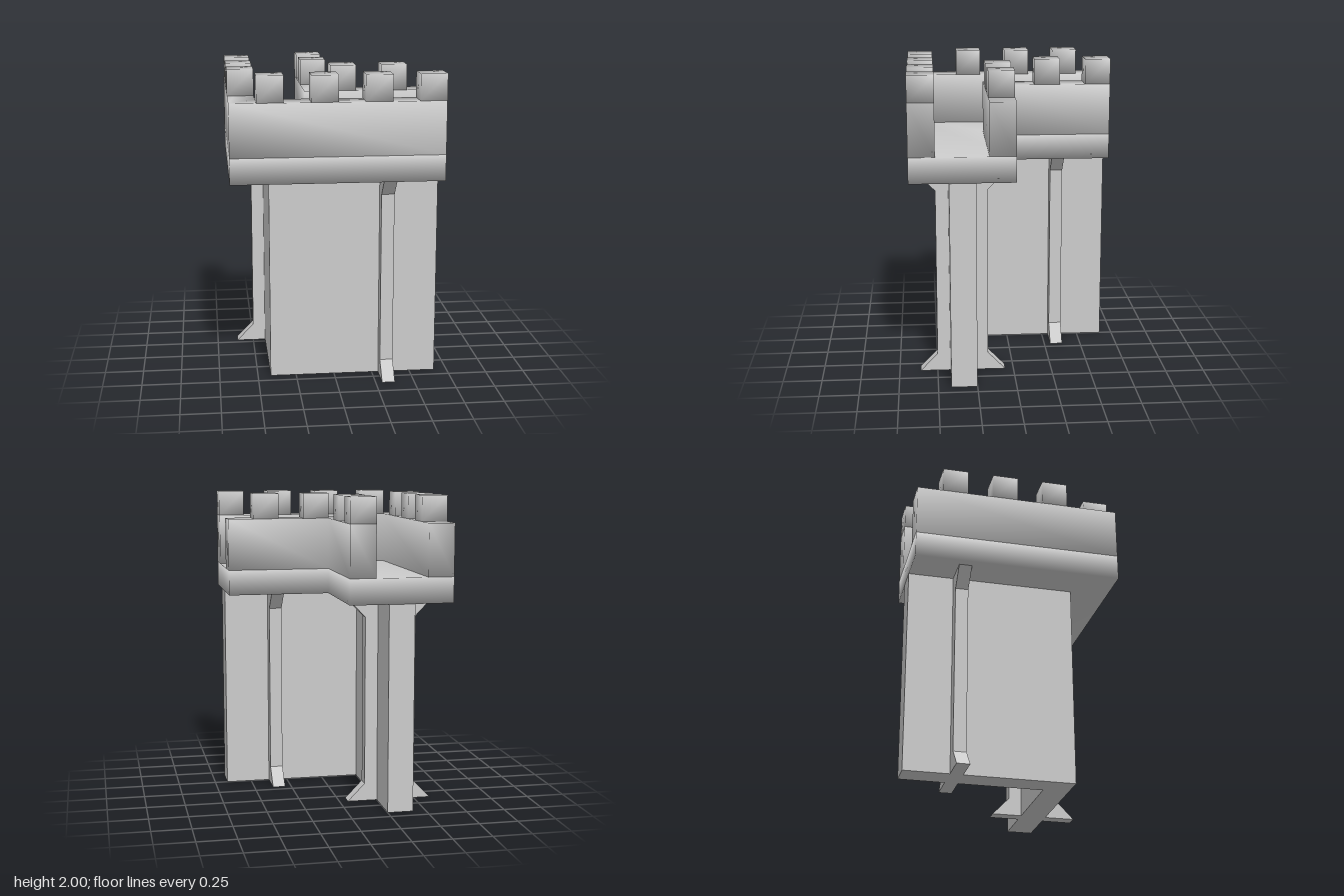
import * as THREE from 'three';
import { mergeVertices } from 'three/addons/utils/BufferGeometryUtils.js';

const U = 1 / 6; // grid unit: one merlon width
const BODY_TOP = 1.335, DECK = 1.5, WALL_TOP = 1.835, TOP = 2;
const material = new THREE.MeshStandardMaterial({ color: 0xcccccc });

// Shared vertices give the soft shading across corners
function soften(geometry) {
  geometry.deleteAttribute('normal');
  geometry.deleteAttribute('uv');
  const merged = mergeVertices(geometry, 1e-4);
  merged.computeVertexNormals();
  return merged;
}

// L-shaped plan: outer is the offset of the long faces, inner that of the short faces
function lSolid(outer, inner, y0, y1) {
  const e = 4 * U;
  const plan = [[-outer, outer], [e, outer], [e, -inner], [inner, -inner], [inner, -e], [-outer, -e]];
  const shape = new THREE.Shape(plan.map(([x, z]) => new THREE.Vector2(x, -z)));
  const geometry = new THREE.ExtrudeGeometry(shape, { depth: y1 - y0, bevelEnabled: false });
  return geometry.rotateX(-Math.PI / 2).translate(0, y0, 0);
}

export function createModel() {
  const group = new THREE.Group();
  const add = (name, geometry) => {
    const mesh = new THREE.Mesh(geometry, material);
    mesh.name = name;
    group.add(mesh);
    return mesh;
  };

  // Corner wall, the walkway on it, and the two parapets along the walkway
  add('cornerWall', lSolid(2.5 * U, -1.5 * U, 0, BODY_TOP));
  add('walkway', soften(lSolid(4 * U, 0, BODY_TOP, DECK)));
  add('outerParapet', soften(lSolid(4 * U, -3 * U, DECK, WALL_TOP)));
  add('innerParapet', soften(lSolid(U, 0, DECK, WALL_TOP)));

  // Merlons: grid centres [x, z] in units
  const merlons = [];
  for (const x of [-2.5, -0.5, 1.5, 3.5]) merlons.push([x, 3.5]);
  for (const z of [1.5, -0.5, -2.5]) merlons.push([-3.5, z]);
  for (const s of [0.5, 2.5]) merlons.push([s, 0.5]);
  for (const s of [1.5, 3.5]) merlons.push([-0.5, -s]);
  const merlon = soften(new THREE.BoxGeometry(U, TOP - WALL_TOP, U));
  for (const [x, z] of merlons) {
    add('merlon', merlon).position.set(x * U, (TOP + WALL_TOP) / 2, z * U);
  }

  // Buttresses with a flared foot and bracket; local +x points away from the wall
  const d = U / 2, flare = 0.195, h = 0.115;
  const profile = [[0, 0], [flare, 0], [d, h], [d, BODY_TOP - h], [flare, BODY_TOP], [0, BODY_TOP]];
  const buttress = new THREE.ExtrudeGeometry(
    new THREE.Shape(profile.map(([x, y]) => new THREE.Vector2(x, y))),
    { depth: d, bevelEnabled: false }
  ).translate(0, 0, -d / 2);
  const spots = [
    [2, 2.5, -Math.PI / 2],
    [2, 1.5, Math.PI / 2],
    [-2.5, -2, Math.PI],
    [-1.5, -2, 0],
  ];
  for (const [x, z, turn] of spots) {
    const mesh = add('buttress', buttress);
    mesh.position.set(x * U, 0, z * U);
    mesh.rotation.y = turn;
  }

  return group;
}
